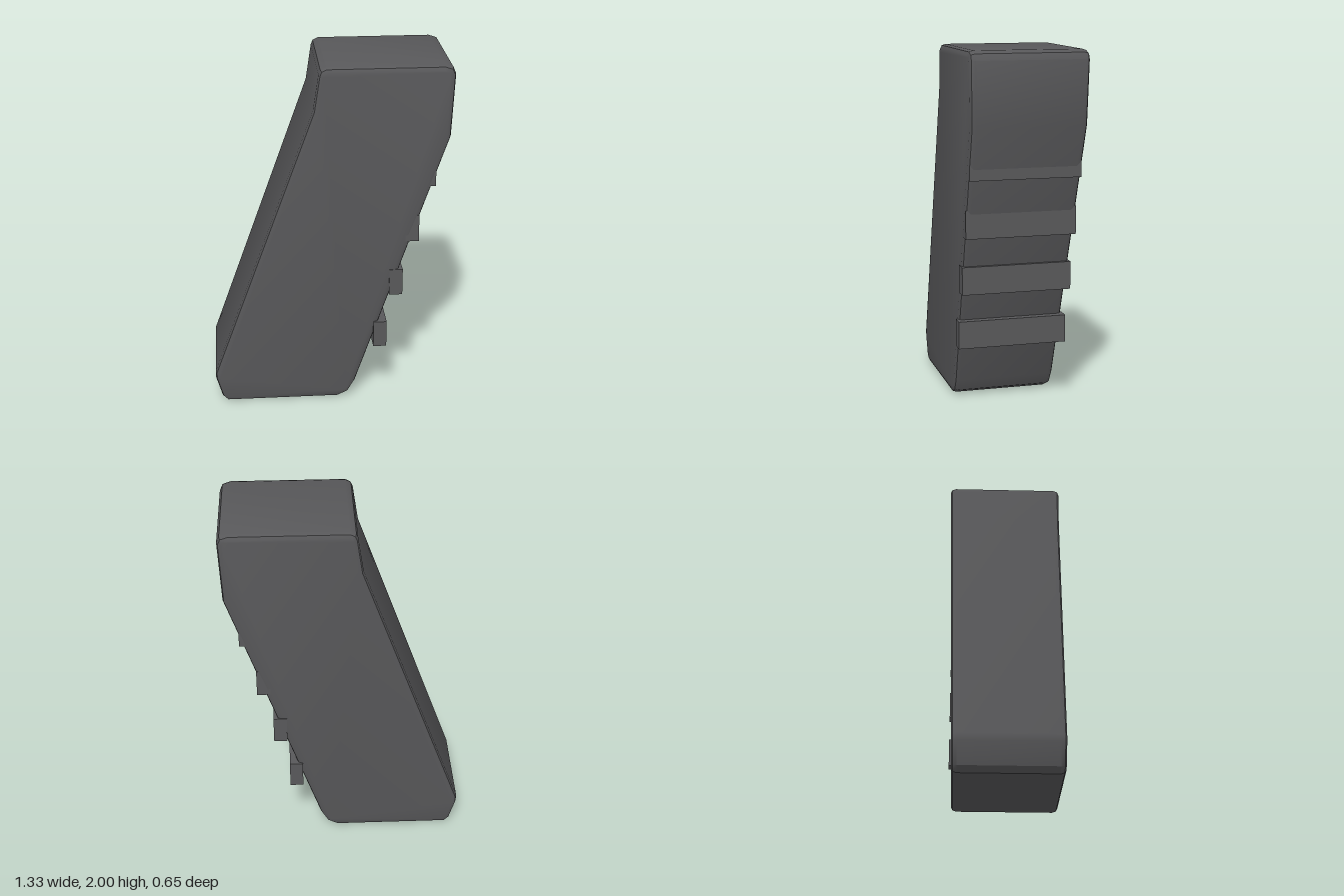
import * as THREE from 'three';
import { toCreasedNormals } from 'three/addons/utils/BufferGeometryUtils.js';

export function createModel() {
  const group = new THREE.Group();
  group.name = 'grip';
  const darkGrey = new THREE.MeshStandardMaterial({ color: 0x58585a });
  darkGrey.name = 'darkGrey';

  // Slanted grip body: side profile with rounded edges
  const profile = [
    [-0.60, 0], [0.04, 0], [0.10, 0.03], [0.14, 0.10],
    [0.645, 1.6], [0.66, 1.95], [0.645, 1.985], [0.60, 2], [-0.03, 2],
    [-0.06, 1.985], [-0.07, 1.96], [-0.10, 1.76],
    [-0.665, 0.19], [-0.665, 0.15], [-0.63, 0.03],
  ].map(([x, y]) => new THREE.Vector2(x, y));
  const half = 0.3, bevel = 0.03;
  let body = new THREE.ExtrudeGeometry(new THREE.Shape(profile), {
    depth: 2 * (half - bevel),
    bevelThickness: bevel, bevelSize: 0.025, bevelOffset: -0.025, bevelSegments: 2,
  });
  body.translate(0, 0, bevel - half);

  // Widen the body gently towards the top
  const p = body.attributes.position;
  for (let i = 0; i < p.count; i++) {
    p.setZ(i, p.getZ(i) * (0.29 + 0.0175 * p.getY(i)) / half);
  }
  body = toCreasedNormals(body, 0.5);
  const bodyMesh = new THREE.Mesh(body, darkGrey);
  bodyMesh.name = 'gripBody';
  group.add(bodyMesh);

  // Four stepped finger ridges on the sloping side
  for (let i = 0; i < 4; i++) {
    const ridge = new THREE.Mesh(new THREE.BoxGeometry(0.075, 0.155, 0.616), darkGrey);
    ridge.name = `fingerRidge${i + 1}`;
    ridge.position.set(0.278 + 0.085 * i, 0.415 + 0.327 * i, 0);
    group.add(ridge);
  }
  return group;
}
